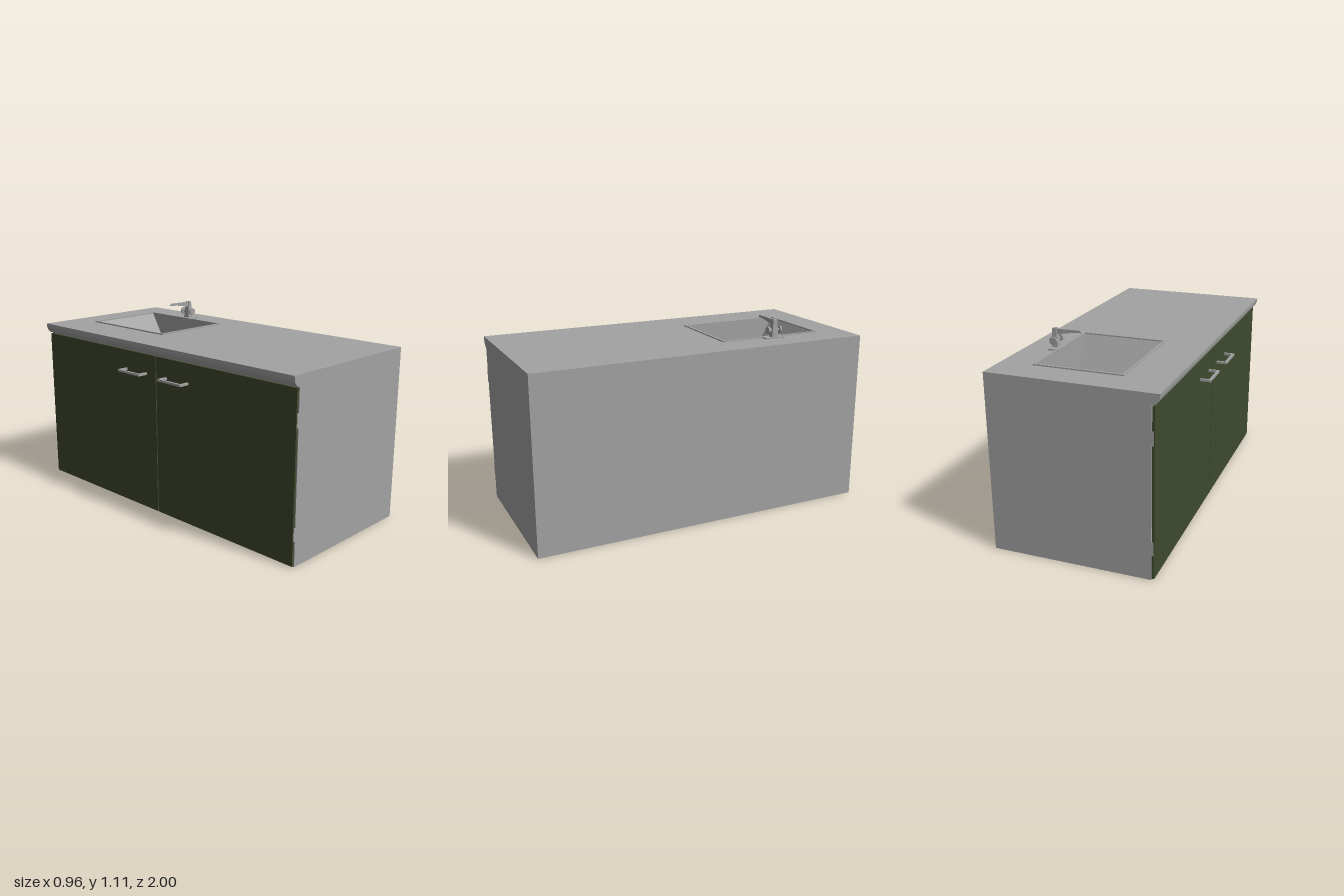
import * as THREE from 'three';
import { mergeGeometries } from 'three/addons/utils/BufferGeometryUtils.js';

export function createModel() {
  const group = new THREE.Group();
  const grey = new THREE.MeshStandardMaterial({ color: 0xa3a3a3 });
  grey.name = 'grey';
  const olive = new THREE.MeshStandardMaterial({ color: 0x3f492d });
  olive.name = 'dark olive';

  const add = (name, geometry, material = grey, parent = group) => {
    const mesh = new THREE.Mesh(geometry, material);
    mesh.name = name;
    parent.add(mesh);
    return mesh;
  };
  const box = (name, x0, x1, y0, y1, z0, z1, material, parent) => {
    const g = new THREE.BoxGeometry(x1 - x0, y1 - y0, z1 - z0);
    g.translate((x0 + x1) / 2, (y0 + y1) / 2, (z0 + z1) / 2);
    return add(name, g, material, parent);
  };
  // Flat four-cornered face, corners counter-clockwise from its front
  const quad = (a, b, c, d) => {
    const g = new THREE.BufferGeometry();
    g.setAttribute('position', new THREE.Float32BufferAttribute([a, b, c, a, c, d].flat(), 3));
    g.computeVertexNormals();
    return g;
  };
  const polygon = (points) => new THREE.Shape(points.map(([x, y]) => new THREE.Vector2(x, y)));
  // Rectangle on the floor plan, drawn as (x, -z)
  const plan = (x0, x1, z0, z1) => polygon([[x0, -z1], [x1, -z1], [x1, -z0], [x0, -z0]]);

  // Cabinet: a profile with a rounded counter nose, run along z
  const profile = [[0.48, 0], [0.48, 1], [-0.45, 1], [-0.448, 0.978], [-0.441, 0.96],
    [-0.43, 0.947], [-0.417, 0.941], [-0.408, 0.94], [-0.408, 0]];
  const strips = [];
  profile.forEach(([x, y], i) => {
    if (i === 1) return; // the top is the worktop
    const [u, v] = profile[(i + 1) % profile.length];
    strips.push(quad([x, y, 1], [x, y, -1], [u, v, -1], [u, v, 1]));
  });
  add('cabinetBody', mergeGeometries(strips));
  for (const s of [1, -1]) {
    const end = new THREE.ShapeGeometry(polygon(s > 0 ? profile : profile.map(([x, y]) => [-x, y])));
    if (s < 0) end.rotateY(Math.PI);
    end.translate(0, 0, s);
    add('endPanel', end);
  }

  // Worktop with the sink opening
  const X0 = -0.19, X1 = 0.285, Z0 = -0.81, Z1 = -0.2;
  const top = plan(-0.45, 0.48, -1, 1);
  top.holes.push(plan(X0, X1, Z0, Z1));
  add('worktop', new THREE.ShapeGeometry(top).rotateX(-Math.PI / 2).translate(0, 1, 0));

  // Thin raised rim
  const rim = plan(X0 - 0.012, X1 + 0.012, Z0 - 0.012, Z1 + 0.015);
  rim.holes.push(plan(X0, X1, Z0, Z1));
  add('sinkRim', new THREE.ExtrudeGeometry(rim, { depth: 0.007, bevelEnabled: false })
    .rotateX(-Math.PI / 2).translate(0, 1, 0));

  // Basin: upright sides, sloping ends
  const F0 = -0.66, F1 = -0.34, D = 0.745;
  add('basin', mergeGeometries([
    quad([X0, D, F1], [X1, D, F1], [X1, D, F0], [X0, D, F0]),
    quad([X0, D, F0], [X1, D, F0], [X1, 1, Z0], [X0, 1, Z0]),
    quad([X1, D, F1], [X0, D, F1], [X0, 1, Z1], [X1, 1, Z1]),
    quad([X0, D, F1], [X0, D, F0], [X0, 1, Z0], [X0, 1, Z1]),
    quad([X1, D, F0], [X1, D, F1], [X1, 1, Z1], [X1, 1, Z0]),
  ]));

  // Tap: base plate, tapered column, spout and two knobs
  const tap = new THREE.Group();
  tap.name = 'tap';
  tap.position.z = -0.503;
  group.add(tap);
  box('tapBase', 0.28, 0.34, 1, 1.008, -0.06, 0.06, grey, tap);
  const column = new THREE.BoxGeometry(0.036, 0.11, 0.042);
  const p = column.attributes.position;
  for (let i = 0; i < p.count; i++) {
    if (p.getY(i) > 0) p.setXYZ(i, p.getX(i) * 0.6 + 0.004, p.getY(i), p.getZ(i) * 0.6);
  }
  column.computeVertexNormals();
  add('tapColumn', column.translate(0.319, 1.057, 0), grey, tap);
  const spout = polygon([[0.16, 1.097], [0.205, 1.096], [0.316, 1.077], [0.316, 1.109], [0.174, 1.11]]);
  add('spout', new THREE.ExtrudeGeometry(spout, { depth: 0.016, bevelEnabled: false })
    .translate(0, 0, -0.008), grey, tap);
  const rod = (name, r, length, z) => add(name,
    new THREE.CylinderGeometry(r, r, length, 16).rotateX(Math.PI / 2).translate(0.318, 1.048, z), grey, tap);
  rod('knobAxle', 0.008, 0.075, 0);
  for (const s of [1, -1]) rod('knob', 0.022, 0.01, s * 0.038);

  // Doors, handles and hinges, mirrored about the middle
  for (const s of [1, -1]) {
    const span = (a, b) => (s > 0 ? [a, b] : [-b, -a]);
    box('door', -0.423, -0.41, 0.006, 0.935, ...span(0.003, 0.997), olive);
    box('handleBar', -0.484, -0.471, 0.817, 0.83, ...span(0.077, 0.26));
    for (const z of [0.077, 0.247]) {
      box('handlePost', -0.472, -0.422, 0.817, 0.83, ...span(z, z + 0.013));
    }
    for (const y of [0.14, 0.735]) {
      box('hinge', -0.419, -0.407, y, y + 0.075, ...span(0.985, 1));
    }
  }
  return group;
}
